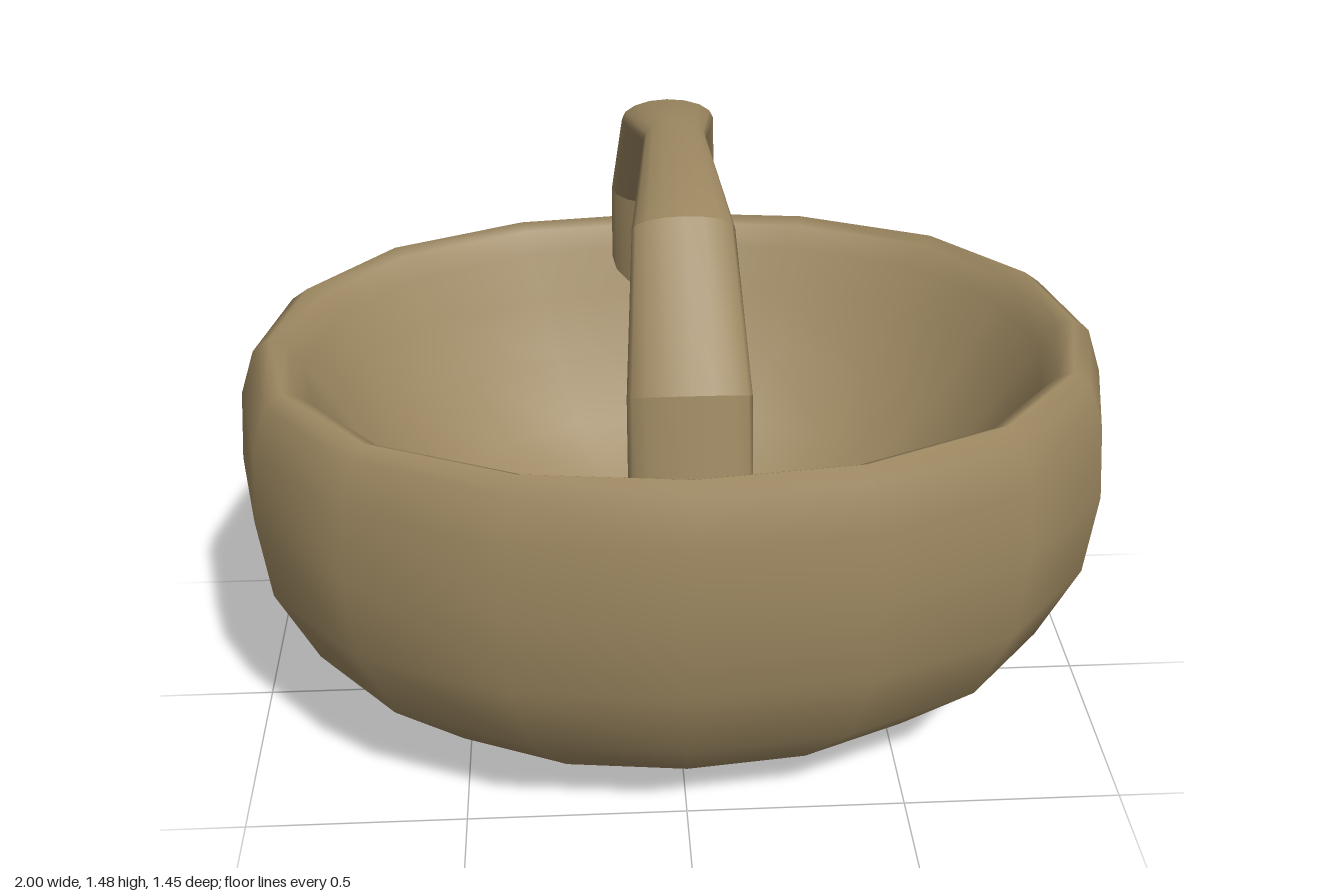
import * as THREE from 'three';
import { mergeVertices } from 'three/addons/utils/BufferGeometryUtils.js';

const SIDES = 16;

// Smooth tube through oval rings; each ring is given by its outer and inner point in the z-y plane
function ovalStrip(rings) {
  const pos = [], idx = [];
  for (const { o, i, w } of rings) {
    const cz = (o[0] + i[0]) / 2, cy = (o[1] + i[1]) / 2;
    const hz = (o[0] - i[0]) / 2, hy = (o[1] - i[1]) / 2;
    for (let k = 0; k < SIDES; k++) {
      const a = (k / SIDES) * Math.PI * 2;
      const c = Math.cos(a);
      pos.push(w * Math.sin(a), cy + hy * c, cz + hz * c);
    }
  }
  for (let r = 0; r < rings.length - 1; r++) {
    for (let k = 0; k < SIDES; k++) {
      const a = r * SIDES + k, b = r * SIDES + (k + 1) % SIDES;
      const c = a + SIDES, d = b + SIDES;
      idx.push(a, b, c, b, d, c);
    }
  }
  const g = new THREE.BufferGeometry();
  g.setAttribute('position', new THREE.Float32BufferAttribute(pos, 3));
  g.setIndex(idx);
  g.computeVertexNormals();
  return g;
}

// Lathe squeezed to an oval whose diagonals bulge slightly
function ovalLathe(profile) {
  const lathe = new THREE.LatheGeometry(profile.map(([r, y]) => new THREE.Vector2(r, y)), SIDES);
  lathe.deleteAttribute('uv');
  lathe.deleteAttribute('normal');
  const g = mergeVertices(lathe, 1e-4);
  const p = g.attributes.position;
  for (let i = 0; i < p.count; i++) {
    const x = p.getX(i), z = p.getZ(i);
    const bulge = 1 + 0.03 * Math.sin(2 * Math.atan2(x, z)) ** 2;
    p.setX(i, x * bulge);
    p.setZ(i, z * bulge * 0.727);
  }
  g.computeVertexNormals();
  return g;
}

export function createModel() {
  const model = new THREE.Group();
  model.name = 'basket';
  const wicker = new THREE.MeshStandardMaterial({ color: 0x9c8760 });
  wicker.name = 'wicker tan';

  // Oval bowl: outer wall, rounded rim, then a hollow that slopes in to a soft floor
  const bowl = new THREE.Mesh(ovalLathe([
    [0, 0.005], [0.385, 0.036], [0.695, 0.132], [0.886, 0.29], [0.977, 0.48], [1, 0.68],
    [0.985, 0.85], [0.95, 0.955], [0.91, 0.985], [0.875, 0.97],
    [0.84, 0.92], [0.78, 0.82], [0.69, 0.68], [0.55, 0.53], [0.38, 0.42], [0.2, 0.37], [0, 0.355],
  ]), wicker);
  bowl.name = 'bowl';
  model.add(bowl);

  // Arched handle, wide at the feet and narrow at the top
  const foot = { o: [0.672, 0.74], i: [0.58, 0.72], w: 0.127 };
  const knee = { o: [0.587, 1.132], i: [0.498, 1.08], w: 0.126 };
  const shoulder = { o: [0.338, 1.408], i: [0.288, 1.333], w: 0.105 };
  const top = { o: [0, 1.48], i: [0, 1.41], w: 0.066 };
  const flip = ({ o, i, w }) => ({ o: [-o[0], o[1]], i: [-i[0], i[1]], w });

  const handle = new THREE.Group();
  handle.name = 'handle';
  // Separate strips keep the bends crisp
  const strips = [
    ['frontFoot', [foot, knee]],
    ['frontArm', [knee, shoulder]],
    ['handleTop', [shoulder, top, flip(shoulder)]],
    ['backArm', [flip(shoulder), flip(knee)]],
    ['backFoot', [flip(knee), flip(foot)]],
  ];
  for (const [name, rings] of strips) {
    const mesh = new THREE.Mesh(ovalStrip(rings), wicker);
    mesh.name = name;
    handle.add(mesh);
  }
  model.add(handle);
  return model;
}
